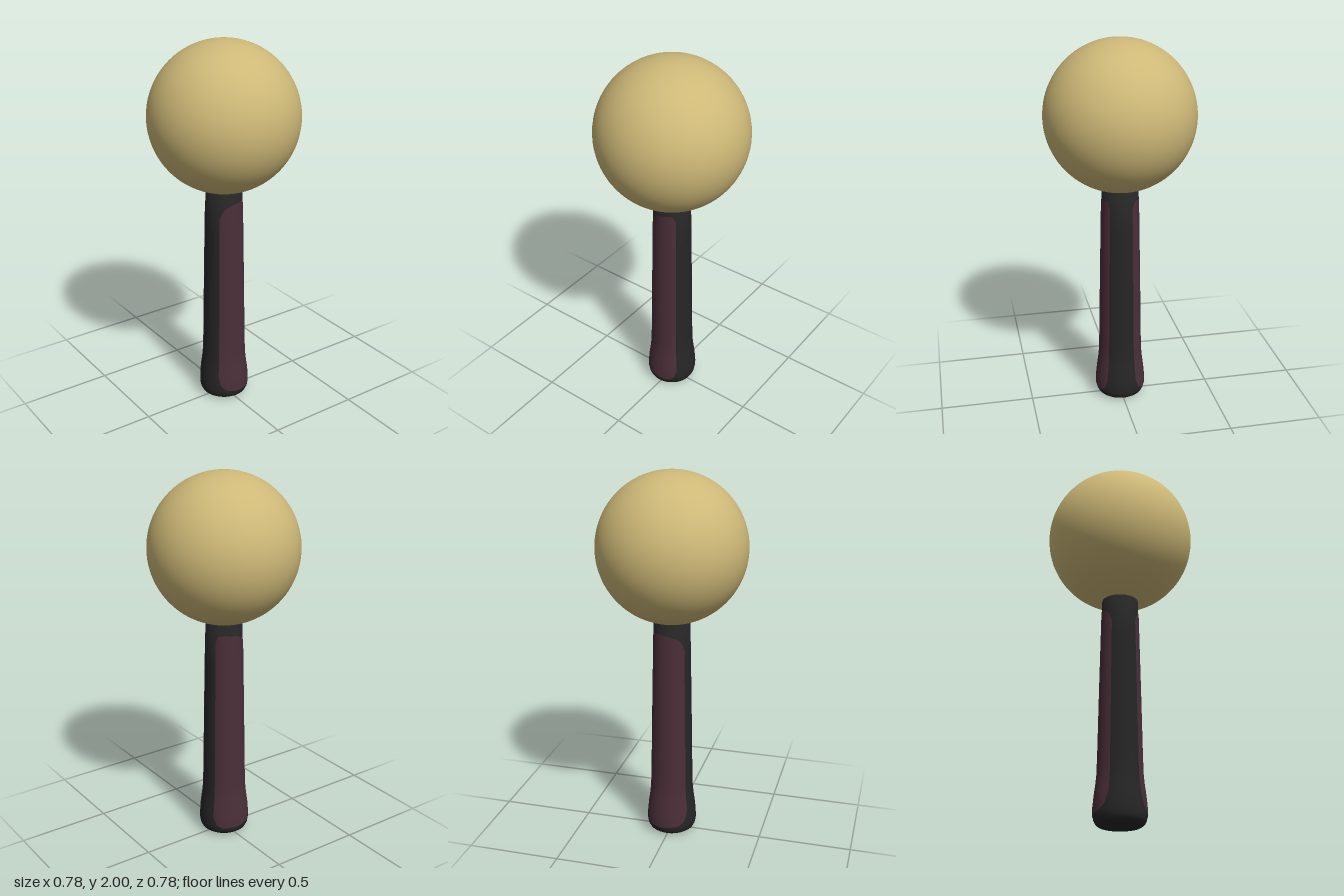
import * as THREE from 'three';

// handle radius by height: [radius, y]
const PROFILE = [
  [0.085, 0.004], [0.108, 0.008], [0.122, 0.018], [0.131, 0.036], [0.135, 0.06], [0.134, 0.1], [0.128, 0.16],
  [0.121, 0.21], [0.116, 0.26], [0.113, 0.36], [0.107, 0.7], [0.101, 1.0], [0.096, 1.24],
];

// linear lookup in rows of [value, key], sorted by key
function lookup(rows, key) {
  for (let i = 1; i < rows.length; i++) {
    const [v0, k0] = rows[i - 1], [v1, k1] = rows[i];
    if (key <= k1) return THREE.MathUtils.lerp(v0, v1, (key - k0) / (k1 - k0));
  }
  return rows[rows.length - 1][0];
}

// a thin grip panel hugging the handle; angles are measured from +z towards +x
function gripPanel(from, to, top, bottom, material, name) {
  const columns = 28, rows = 48, lift = 0.002;
  const geometry = new THREE.PlaneGeometry(1, 1, columns, rows);
  const pos = geometry.attributes.position;
  for (let i = 0; i < pos.count; i++) {
    const u = pos.getX(i) + 0.5, v = pos.getY(i) + 0.5;
    const angle = THREE.MathUtils.degToRad(THREE.MathUtils.lerp(from, to, u));
    const y = THREE.MathUtils.lerp(lookup(bottom, u), lookup(top, u), v);
    const r = lookup(PROFILE, y) + lift;
    pos.setXYZ(i, Math.sin(angle) * r, y, Math.cos(angle) * r);
  }
  geometry.computeVertexNormals();
  const mesh = new THREE.Mesh(geometry, material);
  mesh.name = name;
  return mesh;
}

export function createModel() {
  const group = new THREE.Group();
  group.name = 'ballOnHandle';

  const tan = new THREE.MeshStandardMaterial({ color: 0xcdb877 });
  tan.name = 'tan';
  const black = new THREE.MeshStandardMaterial({ color: 0x262626 });
  black.name = 'black';
  const maroon = new THREE.MeshStandardMaterial({ color: 0x4b2f38, side: THREE.DoubleSide });
  maroon.name = 'maroon';

  // ball head
  const ball = new THREE.Mesh(new THREE.SphereGeometry(0.392, 64, 48), tan);
  ball.position.y = 1.608;
  ball.name = 'ball';
  group.add(ball);

  // tapered handle with a flared, rounded foot
  const points = [[0, 0], ...PROFILE, [0, 1.24]].map(([r, y]) => new THREE.Vector2(r, y));
  const handle = new THREE.Mesh(new THREE.LatheGeometry(points, 64), black);
  handle.name = 'handle';
  group.add(handle);

  // front and back grip panels, their ends lower on the -x side
  const frontTop = [[1.08, 0], [1.12, 0.08], [1.145, 0.2], [1.163, 0.45], [1.17, 0.75], [1.168, 0.92], [1.13, 1]];
  const frontBottom = [[0.15, 0], [0.09, 0.08], [0.065, 0.22], [0.054, 0.5], [0.053, 0.8], [0.07, 0.93], [0.12, 1]];
  group.add(gripPanel(-48, 48, frontTop, frontBottom, maroon, 'frontGrip'));

  // the back panel runs from +x round to -x
  const flip = (rows) => rows.map(([y, u]) => [y, 1 - u]).reverse();
  group.add(gripPanel(119, 235, flip(frontTop), flip(frontBottom), maroon, 'backGrip'));

  return group;
}
